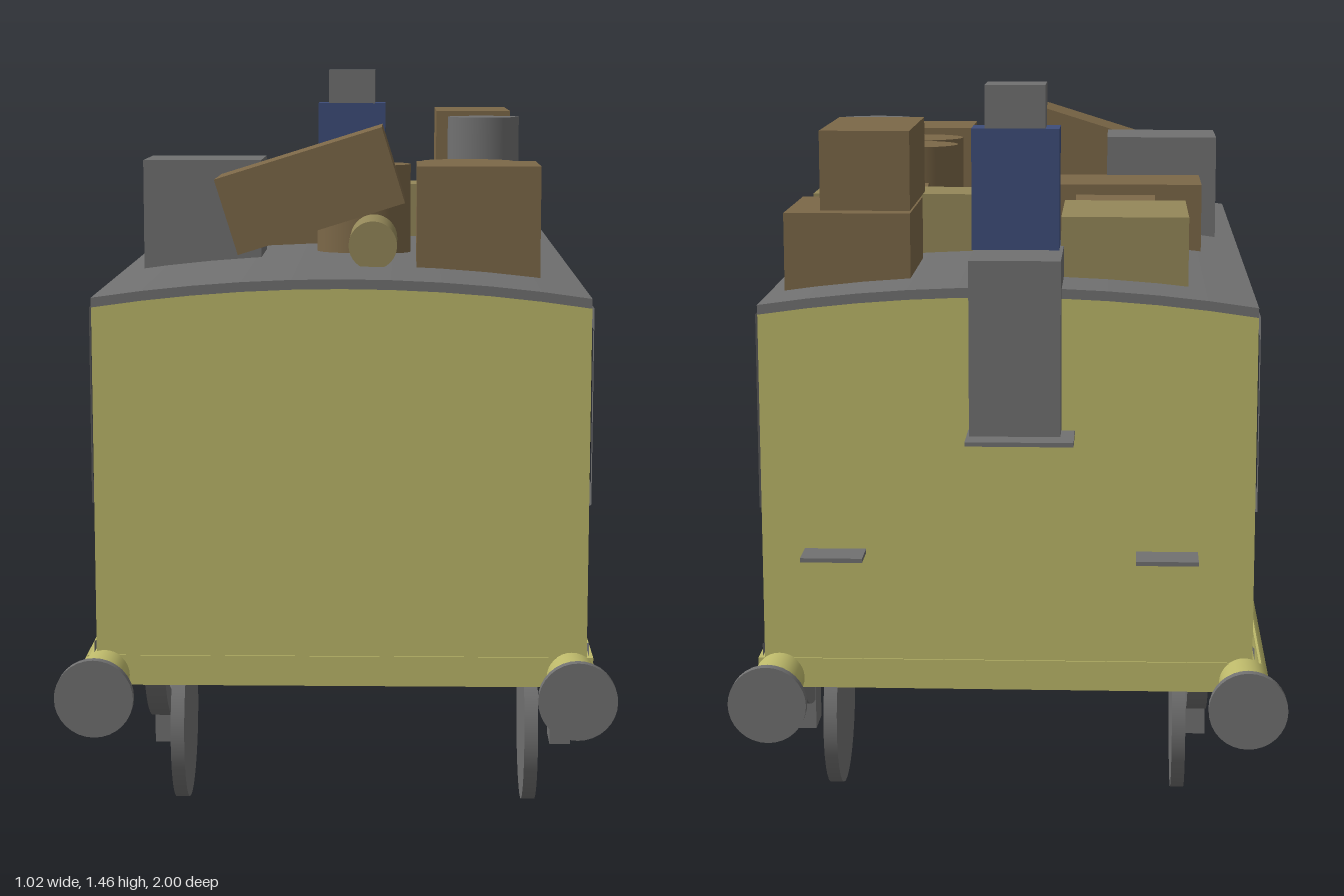
import * as THREE from 'three';

const D = THREE.DoubleSide;
const paint = (name, color, side = THREE.FrontSide) => {
  const m = new THREE.MeshStandardMaterial({ color, side });
  m.name = name;
  return m;
};

export function createModel() {
  const model = new THREE.Group();
  model.name = 'railwayCarriage';
  const yellow = paint('yellow paint', 0xbdb96a, D);
  const grey = paint('grey', 0x717171, D);
  const black = paint('black glass', 0x0b0b0b, D);
  const brown = paint('brown luggage', 0x7c6848);
  const olive = paint('olive luggage', 0x948859);
  const blue = paint('blue coat', 0x3e4d7a);

  const add = (name, geo, mat, x = 0, y = 0, z = 0) => {
    const mesh = new THREE.Mesh(geo, mat);
    mesh.name = name;
    mesh.position.set(x, y, z);
    model.add(mesh);
    return mesh;
  };
  // box given by its limits on each axis
  const box = (name, mat, x0, x1, y0, y1, z0, z1) =>
    add(name, new THREE.BoxGeometry(x1 - x0, y1 - y0, z1 - z0), mat,
      (x0 + x1) / 2, (y0 + y1) / 2, (z0 + z1) / 2);
  // cylinder along a chosen axis
  const cyl = (name, mat, r, len, axis, x, y, z) => {
    const g = new THREE.CylinderGeometry(r, r, len, 32);
    if (axis === 'x') g.rotateZ(Math.PI / 2);
    if (axis === 'z') g.rotateX(Math.PI / 2);
    return add(name, g, mat, x, y, z);
  };
  const shape = pts => new THREE.Shape(pts.map(p => new THREE.Vector2(...p)));
  const path = pts => new THREE.Path(pts.map(p => new THREE.Vector2(...p)));
  // flat plate drawn in (z, y) and stood up facing sideways
  const sidePlate = (name, s, mat, x) =>
    add(name, new THREE.ShapeGeometry(s).rotateY(-Math.PI / 2), mat, x);

  const X0 = -0.455, X1 = 0.465, Z = 0.828, BASE = 0.33, EAVE = 1.045;

  // roof curve, shared by end walls and roof sheet
  const arch = [];
  for (let i = 0; i <= 10; i++) {
    const t = i / 5 - 1;
    arch.push([0.005 + 0.46 * t, EAVE + 0.035 * (1 - t * t)]);
  }
  const endShape = shape([[X1, BASE], ...arch.slice().reverse(), [X0, BASE]]);
  for (const z of [Z, -Z]) add('endWall', new THREE.ShapeGeometry(endShape), yellow, 0, 0, z);
  const roofShape = shape([...arch, ...arch.map(([x, y]) => [x, y + 0.018]).reverse()]);
  add('roof', new THREE.ExtrudeGeometry(roofShape, { depth: 2 * Z + 0.006, bevelEnabled: false }),
    grey, 0, 0, -Z - 0.003);
  box('floor', yellow, X0, X1, BASE, BASE + 0.01, -Z, Z);
  box('soleBar', yellow, -0.472, 0.477, BASE + 0.002, 0.388, -Z - 0.003, Z + 0.003);

  // side walls with nine window openings
  const windows = [];
  for (let i = 0; i < 9; i++) windows.push(0.743 - i * 0.1845);
  const opening = z => path([[z - 0.063, 0.717], [z - 0.063, 1.005], [z + 0.063, 1.005], [z + 0.063, 0.717]]);
  const panels = [
    [[0.828, 0.68], [0.64, 0.63]],
    [[0.467, 0.63], [0.28, 0.672], [0.088, 0.63]],
    [[-0.083, 0.63], [-0.27, 0.672], [-0.463, 0.63]],
    [[-0.63, 0.63], [-0.828, 0.68]],
  ];
  const feet = [
    [[0.828, 0.39], [0.828, 0.415], [0.72, 0.39]],
    [[0.4, 0.39], [0.28, 0.42], [0.16, 0.39]],
    [[-0.15, 0.39], [-0.27, 0.42], [-0.39, 0.39]],
    [[-0.72, 0.39], [-0.828, 0.415], [-0.828, 0.39]],
  ];
  for (const [x, out] of [[X0, -1], [X1, 1]]) {
    const wall = shape([[-Z, BASE], [Z, BASE], [Z, EAVE], [-Z, EAVE]]);
    wall.holes = windows.map(opening);
    sidePlate('sideWall', wall, yellow, x);
    // grey panels around groups of windows
    for (const p of panels) {
      const first = p[0][0], last = p[p.length - 1][0];
      const s = shape([...p, [last, EAVE], [first, EAVE]]);
      s.holes = windows.filter(z => z < first && z > last).map(opening);
      sidePlate('windowPanel', s, grey, x + out * 0.004);
    }
    for (const f of feet) sidePlate('lowerTrim', shape(f), grey, x + out * 0.004);
  }
  // dark glass on the left side only
  for (const z of windows) {
    add('windowPane', new THREE.PlaneGeometry(0.126, 0.288).rotateY(Math.PI / 2), black, X1 + 0.002, 0.861, z);
  }

  // frame tubes and buffers
  for (const x of [-0.44, 0.437]) {
    cyl('frameTube', yellow, 0.047, 1.82, 'z', x, 0.35, -0.005);
    for (const s of [1, -1]) {
      cyl('bufferRod', grey, 0.012, 0.1, 'z', x, 0.35, s * 0.94);
      cyl('bufferDisc', grey, 0.072, 0.018, 'z', x, 0.35, s * 0.989);
    }
  }

  // wheels, curved springs and axle boxes
  const spring = new THREE.Shape();
  spring.moveTo(-0.24, 0.31);
  spring.quadraticCurveTo(-0.17, 0.18, 0, 0.18);
  spring.quadraticCurveTo(0.17, 0.18, 0.24, 0.31);
  spring.lineTo(0.2, 0.31);
  spring.quadraticCurveTo(0.12, 0.228, 0, 0.228);
  spring.quadraticCurveTo(-0.12, 0.228, -0.2, 0.31);
  const springGeo = new THREE.ExtrudeGeometry(spring, { depth: 0.04, bevelEnabled: false, curveSegments: 10 })
    .translate(0, 0, -0.02).rotateY(-Math.PI / 2);
  for (const z of [0.463, -0.425]) {
    for (const [wx, sx] of [[-0.325, -0.36], [0.375, 0.44]]) {
      cyl('wheel', grey, 0.162, 0.027, 'x', wx, 0.162, z);
      add('spring', springGeo, grey, sx, 0, z);
      box('axleBox', grey, sx - 0.021, sx + 0.021, 0.12, 0.22, z - 0.04, z + 0.04);
    }
  }

  // rear steps
  box('rearStep', grey, -0.35, -0.235, 0.594, 0.602, -0.9, -Z);
  box('rearStep', grey, 0.27, 0.385, 0.594, 0.602, -0.9, -Z);
  box('footRest', grey, -0.12, 0.077, 0.824, 0.832, -0.938, -Z);

  // guard seated on the rear edge of the roof
  box('guardThighs', grey, -0.095, 0.072, 1.07, 1.155, -0.888, -0.64);
  box('guardShins', grey, -0.095, 0.072, 0.83, 1.1, -0.888, -Z - 0.002);
  box('guardTorso', blue, -0.088, 0.075, 1.155, 1.38, -0.74, -0.655);
  box('guardHead', grey, -0.062, 0.05, 1.38, 1.46, -0.74, -0.64);

  // boxes and trunks on the roof
  const trunks = [
    [olive, -0.33, -0.09, 1.06, 1.21, -0.68, -0.4],
    [brown, 0.195, 0.435, 1.055, 1.215, -0.68, -0.4],
    [brown, 0.195, 0.365, 1.22, 1.37, -0.68, -0.345],
    [olive, 0.02, 0.425, 1.06, 1.212, -0.32, -0.18],
    [brown, -0.37, -0.035, 1.06, 1.215, -0.15, 0.05],
    [grey, -0.41, -0.17, 1.055, 1.29, 0.13, 0.33],
    [brown, 0.145, 0.385, 1.06, 1.29, 0.36, 0.56],
  ];
  for (const [mat, ...limits] of trunks) box('trunk', mat, ...limits);
  const tilted = box('tiltedTrunk', brown, -0.231, 0.107, 1.167, 1.319, 0.388, 0.588);
  tilted.rotation.z = 0.302;

  // upright barrels and hat box, wider across the roof
  for (const [name, mat, r, y0, y1, x, z] of [
    ['barrel', brown, 0.081, 1.075, 1.277, 0.037, 0.213],
    ['barrel', brown, 0.081, 1.075, 1.277, 0.255, 0.088],
    ['barrel', brown, 0.081, 1.075, 1.277, 0.255, 0.26],
    ['hatBox', grey, 0.067, 1.21, 1.36, 0.3, -0.252],
  ]) cyl(name, mat, r, y1 - y0, 'y', x, (y0 + y1) / 2, z).scale.x = 1.2;

  // bedrolls lying on the roof
  cyl('bedroll', brown, 0.067, 0.16, 'x', -0.19, 1.143, -0.302);
  cyl('bedroll', brown, 0.067, 0.16, 'x', 0.288, 1.143, -0.085);
  cyl('smallRoll', olive, 0.047, 0.19, 'z', 0.06, 1.138, 0.485);

  return model;
}
